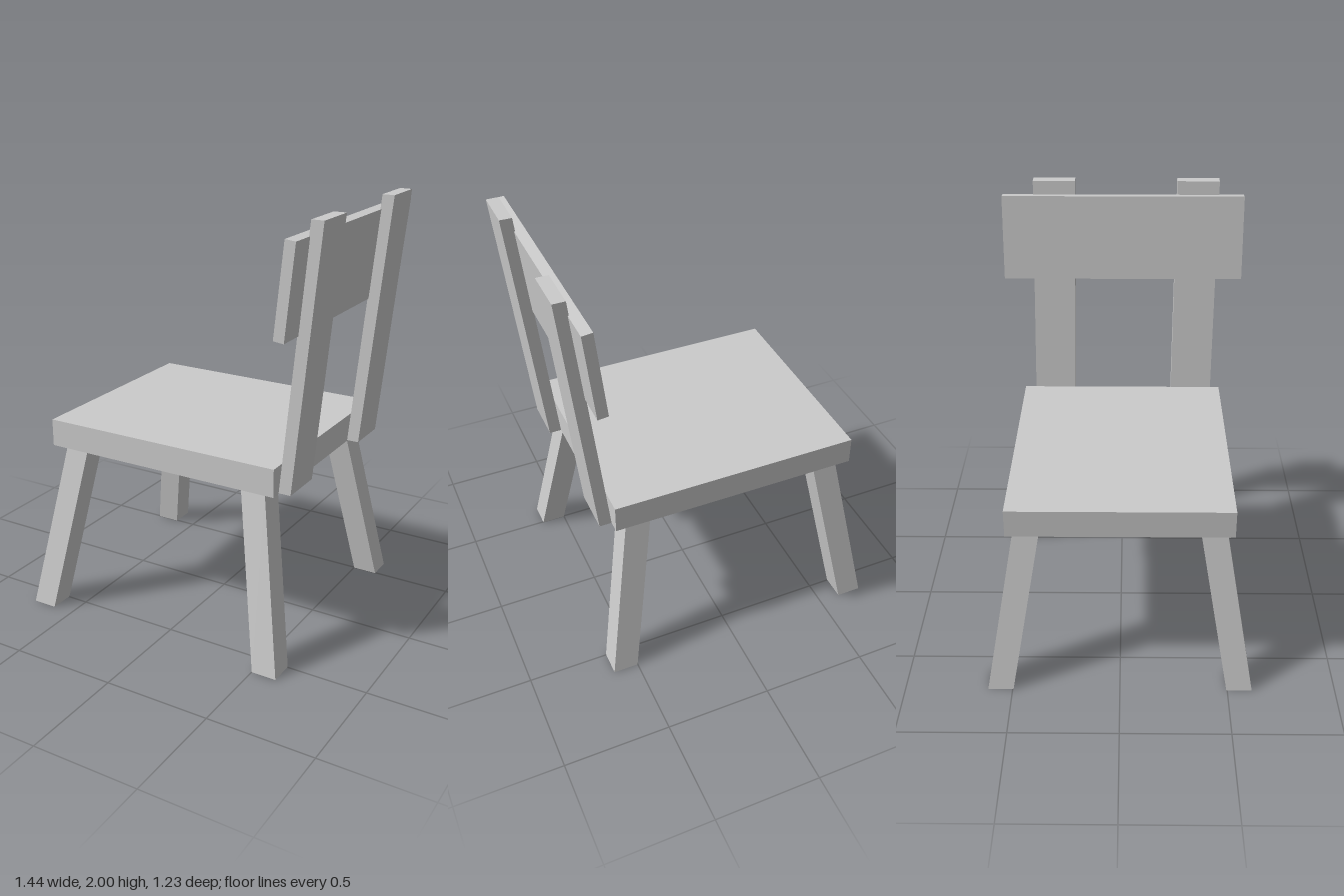
import * as THREE from 'three';

const material = new THREE.MeshStandardMaterial({ color: 0xcccccc, flatShading: true });

// Box of the given size whose top face is slid sideways by (dx, dz); base is centred on x, y, z
function slantedBar(name, [w, h, d], [x, y, z], dx = 0, dz = 0) {
  const geometry = new THREE.BoxGeometry(w, h, d).translate(0, h / 2, 0);
  const p = geometry.attributes.position;
  for (let i = 0; i < p.count; i++) {
    const t = p.getY(i) / h;
    p.setX(i, p.getX(i) + dx * t);
    p.setZ(i, p.getZ(i) + dz * t);
  }
  geometry.computeVertexNormals();
  const mesh = new THREE.Mesh(geometry, material);
  mesh.name = name;
  mesh.position.set(x, y, z);
  return mesh;
}

export function createModel() {
  const chair = new THREE.Group();
  chair.name = 'chair';

  // Flat seat slab
  chair.add(slantedBar('seat', [1.18, 0.13, 1.01], [-0.053, 0.81, 0]));

  // Four legs splayed outwards in both directions
  for (const side of [-1, 1]) {
    for (const end of [-1, 1]) {
      chair.add(slantedBar(
        `${end < 0 ? 'front' : 'rear'}Leg`, [0.118, 0.81, 0.118],
        [-0.052 + end * 0.612, 0, side * 0.555], -end * 0.14, -side * 0.14));
    }
  }

  // Two uprights leaning away from the seat
  for (const z of [-0.35, 0.357]) {
    chair.add(slantedBar('backPost', [0.057, 1.185, 0.206], [0.567, 0.815, z], 0.126, 0.015));
  }

  // Wide board fixed to the seat side of the uprights, tilted to match them
  const board = new THREE.Mesh(new THREE.BoxGeometry(0.049, 0.412, 1.184), material);
  board.name = 'backrest';
  board.position.set(0.616, 1.732, 0.003);
  board.rotation.z = -0.106;
  chair.add(board);

  return chair;
}
